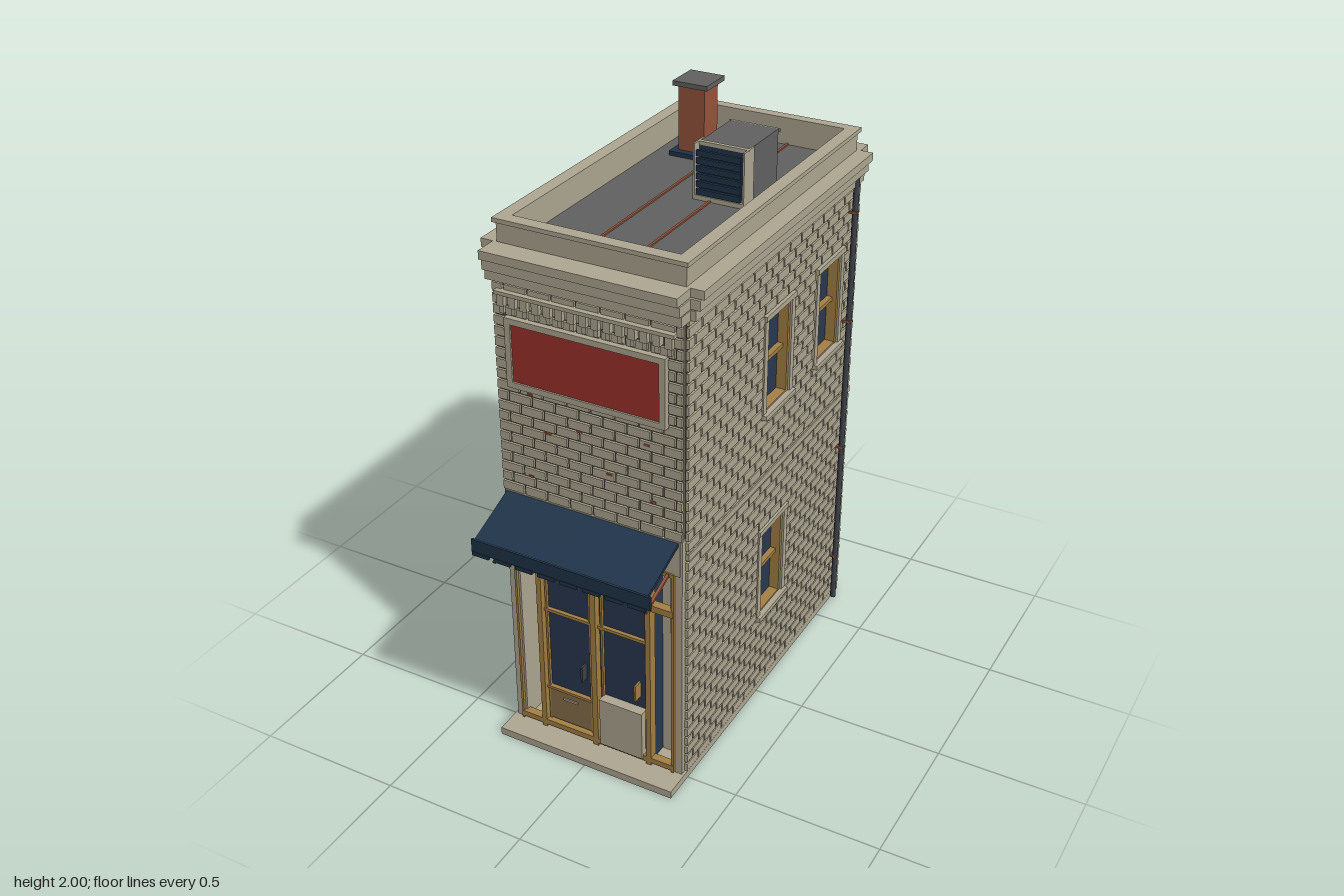
import * as THREE from 'three';
import { mergeGeometries } from 'three/addons/utils/BufferGeometryUtils.js';

const mat = (name, color) => new THREE.MeshStandardMaterial({ name, color });
const M = {
  stone: mat('pale stone', 0xafa892), mortar: mat('dark mortar', 0x5f5b50),
  glass: mat('window glass', 0x293850), wood: mat('ochre wood', 0xa58145),
  panel: mat('tan panel', 0x86704a), red: mat('sign red', 0x9e322b),
  brick: mat('terracotta', 0x96543d), grey: mat('roof grey', 0x626262),
  navy: mat('awning navy', 0x20344a), iron: mat('dark iron', 0x3e4248),
};

// Box geometry from its limits
function boxGeo(x0, x1, y0, y1, z0, z1) {
  return new THREE.BoxGeometry(x1 - x0, y1 - y0, z1 - z0)
    .translate((x0 + x1) / 2, (y0 + y1) / 2, (z0 + z1) / 2);
}
function add(parent, name, geo, material) {
  const mesh = new THREE.Mesh(geo, material);
  mesh.name = name;
  parent.add(mesh);
  return mesh;
}
const box = (parent, name, material, ...lim) => add(parent, name, boxGeo(...lim), material);

// Parts of rectangle r left outside hole h, both [x0, x1, y0, y1]
function subtract([a, b, c, d], [e, f, g, k]) {
  if (b <= e || a >= f || d <= g || c >= k) return [[a, b, c, d]];
  const l = Math.max(a, e), r = Math.min(b, f);
  return [[a, l, c, d], [r, b, c, d], [l, r, c, g], [l, r, k, d]];
}

// Raised running-bond bricks on a wall facing local +z, leaving out the holes
function bricks(parent, x0, x1, y0, y1, z, holes) {
  const pitch = 0.036, len = 0.082, gap = 0.007, geos = [];
  for (let row = 0, y = y0; y < y1; row++, y += pitch) {
    const top = Math.min(y + pitch - gap, y1);
    for (let x = x0 - (row % 2) * len / 2; x < x1; x += len) {
      let parts = [[Math.max(x, x0), Math.min(x + len - gap, x1), y, top]];
      for (const h of holes) parts = parts.flatMap(r => subtract(r, h));
      for (const [a, b, c, d] of parts) {
        if (b - a > 0.005 && d - c > 0.003) geos.push(boxGeo(a, b, c, d, z - 0.002, z + 0.008));
      }
    }
  }
  add(parent, 'bricks', mergeGeometries(geos), M.stone);
}

// Recessed sash window with stone surround, in an opening of a wall facing local +z
const W = 0.083, H = 0.165;
function sashWindow(parent, x, y) {
  const g = new THREE.Group();
  g.name = 'sashWindow';
  g.position.set(x, y, 0);
  box(g, 'windowGlass', M.glass, -W, W, -H, H, -0.038, -0.032);
  for (const s of [-1, 1]) {
    const [a, b] = s < 0 ? [-W, -W + 0.013] : [W - 0.013, W];
    box(g, 'windowStile', M.wood, a, b, -H, H, -0.04, 0.003);
    const [c, d] = s < 0 ? [-W - 0.024, -W] : [W, W + 0.024];
    box(g, 'windowJamb', M.stone, c, d, -H, H, -0.002, 0.01);
    const [e, k] = s < 0 ? [-H, -H + 0.006] : [H - 0.006, H];
    box(g, 'windowRail', M.wood, -W, W, e, k, -0.04, 0.002);
  }
  box(g, 'meetingRail', M.wood, -W, W, -0.007, 0.007, -0.035, -0.012);
  box(g, 'windowSill', M.stone, -W - 0.024, W + 0.024, -H - 0.016, -H, -0.002, 0.022);
  box(g, 'windowLintel', M.stone, -W - 0.024, W + 0.024, H, H + 0.018, -0.002, 0.014);
  parent.add(g);
}

function wall(root, name, x, z, turn, half, windows) {
  const g = new THREE.Group();
  g.name = name;
  g.position.set(x, 0, z);
  g.rotation.y = turn;
  // Mortar slab pierced by the window openings
  const rect = (T, a, b, c, d) => new T([[a, c], [b, c], [b, d], [a, d]].map(p => new THREE.Vector2(...p)));
  const slab = rect(THREE.Shape, -half + 0.006, half - 0.006, 0.02, 1.736);
  for (const [u, v] of windows) slab.holes.push(rect(THREE.Path, u - W, u + W, v - H, v + H));
  add(g, 'mortarSlab', new THREE.ExtrudeGeometry(slab, { depth: 0.04, bevelEnabled: false })
    .translate(0, 0, -0.04), M.mortar);
  const holes = windows.map(([u, v]) => [u - 0.112, u + 0.112, v - 0.184, v + 0.186]);
  holes.push([-2, 2, 0.858, 0.884]);
  bricks(g, -half, half, 0.03, 1.665, 0, holes);
  box(g, 'beltCourse', M.stone, -half, half, 0.86, 0.882, -0.002, 0.011);
  for (const [u, v] of windows) sashWindow(g, u, v);
  root.add(g);
}

function addStorefront(root) {
  const g = new THREE.Group();
  g.name = 'storefront';
  // Projecting glazed bay between two recesses
  box(g, 'shopGlass', M.glass, -0.2, 0.2, 0.03, 0.815, 0.42, 0.512);
  box(g, 'fascia', M.stone, -0.31, 0.31, 0.81, 0.935, 0.42, 0.53);
  for (const s of [-1, 1]) {
    const bar = (name, m, x, w, y0, y1, z0, z1) =>
      box(g, name, m, s * x - w / 2, s * x + w / 2, y0, y1, z0, z1);
    bar('recessPanel', M.stone, 0.245, 0.09, 0.027, 0.815, 0.42, 0.44);
    bar('pilaster', M.stone, 0.296, 0.04, 0.025, 0.935, 0.42, 0.525);
    bar('outerPost', M.wood, 0.287, 0.008, 0.03, 0.815, 0.51, 0.536);
    bar('shopPost', M.wood, 0.2, 0.018, 0.03, 0.815, 0.505, 0.538);
    bar('doorStile', M.wood, 0.022, 0.007, 0.03, 0.66, 0.505, 0.522);
    bar('doorStile', M.wood, 0.184, 0.007, 0.03, 0.66, 0.505, 0.522);
    bar('transomBar', M.wood, 0.075, 0.006, 0.67, 0.815, 0.505, 0.52);
    bar('transomBar', M.wood, 0.13, 0.006, 0.67, 0.815, 0.505, 0.52);
    bar('doorRail', M.wood, 0.1, 0.18, 0.505, 0.516, 0.505, 0.525);
  }
  box(g, 'centrePost', M.wood, -0.01, 0.01, 0.03, 0.815, 0.505, 0.538);
  box(g, 'transomRail', M.wood, -0.29, 0.29, 0.655, 0.678, 0.51, 0.54);
  box(g, 'bottomRail', M.wood, -0.29, 0.29, 0.04, 0.06, 0.51, 0.538);
  box(g, 'topRail', M.wood, -0.29, 0.29, 0.8, 0.815, 0.51, 0.534);
  // Kick panel, letter slot, leaning board and door handles
  box(g, 'kickPanel', M.panel, -0.185, -0.018, 0.065, 0.19, 0.505, 0.522);
  box(g, 'kickRail', M.wood, -0.19, -0.012, 0.19, 0.2, 0.505, 0.527);
  box(g, 'letterSlot', M.stone, -0.13, -0.075, 0.158, 0.166, 0.52, 0.526);
  box(g, 'whiteBoard', M.stone, 0.022, 0.18, 0.05, 0.235, 0.505, 0.546);
  box(g, 'handle', M.iron, -0.05, -0.043, 0.275, 0.335, 0.51, 0.54);
  box(g, 'handle', M.wood, 0.152, 0.159, 0.28, 0.34, 0.51, 0.545);
  root.add(g);
}

function addAwning(root) {
  const g = new THREE.Group();
  g.name = 'awning';
  const sheet = add(g, 'awningSheet', new THREE.BoxGeometry(0.61, 0.012, 0.212), M.navy);
  sheet.position.set(0, 0.89, 0.62);
  sheet.rotation.x = Math.atan2(0.08, 0.2);
  // Valance with shallow flaps
  box(g, 'valance', M.navy, -0.312, 0.318, 0.815, 0.862, 0.716, 0.724);
  for (let i = 0; i < 8; i++) {
    const x = -0.31 + i * 0.079;
    box(g, 'valanceFlap', M.navy, x, x + 0.06, 0.804, 0.818, 0.716, 0.726);
  }
  for (const x of [-0.27, 0.27]) {
    const arm = add(g, 'awningArm', new THREE.BoxGeometry(0.01, 0.008, 0.158), M.brick);
    arm.position.set(x, 0.783, 0.597);
    arm.rotation.x = 0.36;
  }
  root.add(g);
}

function addRoofItems(root) {
  // Roof deck and seams
  box(root, 'roofDeck', M.grey, -0.285, 0.285, 1.735, 1.75, -0.645, 0.47);
  for (const x of [-0.08, 0.077]) box(root, 'roofSeam', M.brick, x - 0.004, x + 0.004, 1.75, 1.755, -0.637, 0.463);
  // Chimney
  box(root, 'chimneyBase', M.navy, -0.222, -0.082, 1.75, 1.765, -0.51, -0.367);
  box(root, 'chimneyShaft', M.brick, -0.2, -0.106, 1.75, 1.985, -0.483, -0.392);
  box(root, 'chimneyCap', M.grey, -0.214, -0.09, 1.984, 2, -0.5, -0.377);
  // Cooling unit with pale rim and louvred front
  box(root, 'coolingUnit', M.grey, 0.024, 0.188, 1.75, 1.928, -0.325, -0.125);
  box(root, 'unitRim', M.stone, 0.018, 0.194, 1.918, 1.93, -0.126, -0.112);
  box(root, 'unitRim', M.stone, 0.018, 0.194, 1.918, 1.928, -0.331, -0.325);
  for (const x of [0.018, 0.187]) {
    box(root, 'unitCheek', M.stone, x, x + 0.006, 1.75, 1.93, -0.15, -0.084);
  }
  box(root, 'unitSill', M.stone, 0.018, 0.193, 1.75, 1.765, -0.126, -0.084);
  box(root, 'unitGrille', M.navy, 0.026, 0.186, 1.765, 1.918, -0.126, -0.112);
  for (let i = 0; i < 6; i++) {
    const y = 1.768 + i * 0.025;
    box(root, 'unitLouvre', M.navy, 0.03, 0.181, y, y + 0.019, -0.092, -0.082);
  }
}

export function createModel() {
  const root = new THREE.Group();
  root.name = 'townBuilding';
  box(root, 'baseSlab', M.stone, -0.325, 0.325, 0, 0.027, -0.688, 0.615);
  box(root, 'lowerCore', M.mortar, -0.279, 0.279, 0.02, 0.93, -0.641, 0.43);
  box(root, 'upperCore', M.mortar, -0.279, 0.279, 0.93, 1.736, -0.641, 0.5);

  // Side and back walls
  for (const s of [-1, 1]) {
    wall(root, s > 0 ? 'leftWall' : 'rightWall', s * 0.318, -0.09, s * Math.PI / 2, 0.596,
      [[0, 1.28], [s * 0.38, 1.28], [0, 0.49]]);
    // Downpipe with brackets
    add(root, 'downpipe', new THREE.CylinderGeometry(0.01, 0.01, 1.68, 10)
      .translate(s * 0.342, 0.86, -0.61), M.iron);
    for (const y of [0.2, 0.67, 1.17, 1.57]) {
      box(root, 'pipeBracket', M.brick, s * 0.336 - 0.016, s * 0.336 + 0.016, y, y + 0.008, -0.62, -0.6);
    }
  }
  wall(root, 'backWall', 0, -0.68, Math.PI, 0.324, [-0.14, 0.14].flatMap(x => [[x, 0.49], [x, 1.28]]));

  // Upper front wall, sign and bracket row
  const front = new THREE.Group();
  front.name = 'frontWall';
  box(front, 'frontBacking', M.mortar, -0.312, 0.312, 0.93, 1.67, 0.49, 0.522);
  bricks(front, -0.316, 0.316, 0.938, 1.665, 0.522, [[-0.272, 0.272, 1.318, 1.554]]);
  box(front, 'signBoard', M.red, -0.252, 0.252, 1.34, 1.533, 0.515, 0.54);
  for (const s of [-1, 1]) {
    box(front, 'signFrame', M.stone, s * 0.26 - 0.01, s * 0.26 + 0.01, 1.32, 1.552, 0.515, 0.546);
    const y = 1.436 + s * 0.106;
    box(front, 'signFrame', M.stone, -0.25, 0.25, y - 0.01, y + 0.01, 0.515, 0.546);
  }
  for (let i = 0; i < 15; i++) {
    const x = -0.28 + i * 0.04;
    box(front, 'corbel', M.stone, x - 0.012, x + 0.012, 1.585, 1.622, 0.52, 0.545);
    box(front, 'corbelFoot', M.stone, x - 0.007, x + 0.007, 1.56, 1.585, 0.52, 0.538);
  }
  box(front, 'corbelBand', M.stone, -0.3, 0.3, 1.622, 1.634, 0.52, 0.548);
  for (const [x, y] of [[-0.2, 1.3], [-0.14, 1.18], [-0.03, 1.22], [0.07, 1.1], [0.2, 1.24], [-0.21, 1.01], [0.22, 1.05]]) {
    box(front, 'wornBrick', M.brick, x - 0.009, x + 0.009, y, y + 0.007, 0.52, 0.532);
  }
  root.add(front);
  addStorefront(root);
  addAwning(root);

  // Stepped cornice with open corners
  [[1.665, 1.697, 0], [1.7, 1.732, 0.013], [1.737, 1.765, 0.026]].forEach(([y0, y1, o]) => {
    for (const s of [-1, 1]) {
      const x = s * (0.327 + o / 2);
      box(root, 'sideCornice', M.stone, x - 0.015 - o / 2, x + 0.015 + o / 2, y0, y1, -0.67, 0.498);
    }
    box(root, 'frontCornice', M.stone, -0.325, 0.325, y0, y1, 0.48, 0.549 + o);
    box(root, 'backCornice', M.stone, -0.325, 0.325, y0, y1, -0.704 - o, -0.65);
  });

  // Parapet and its coping
  const ring = (name, x, zf, zb, y0, y1) => {
    for (const s of [-1, 1]) {
      const [a, b] = s < 0 ? [-x, -0.277] : [0.277, x];
      box(root, name, M.stone, a, b, y0, y1, zb, zf);
    }
    box(root, name, M.stone, -0.277, 0.277, y0, y1, 0.463, zf);
    box(root, name, M.stone, -0.277, 0.277, y0, y1, zb, -0.637);
  };
  ring('parapet', 0.312, 0.497, -0.665, 1.73, 1.828);
  ring('coping', 0.321, 0.506, -0.674, 1.828, 1.842);

  addRoofItems(root);
  return root;
}
